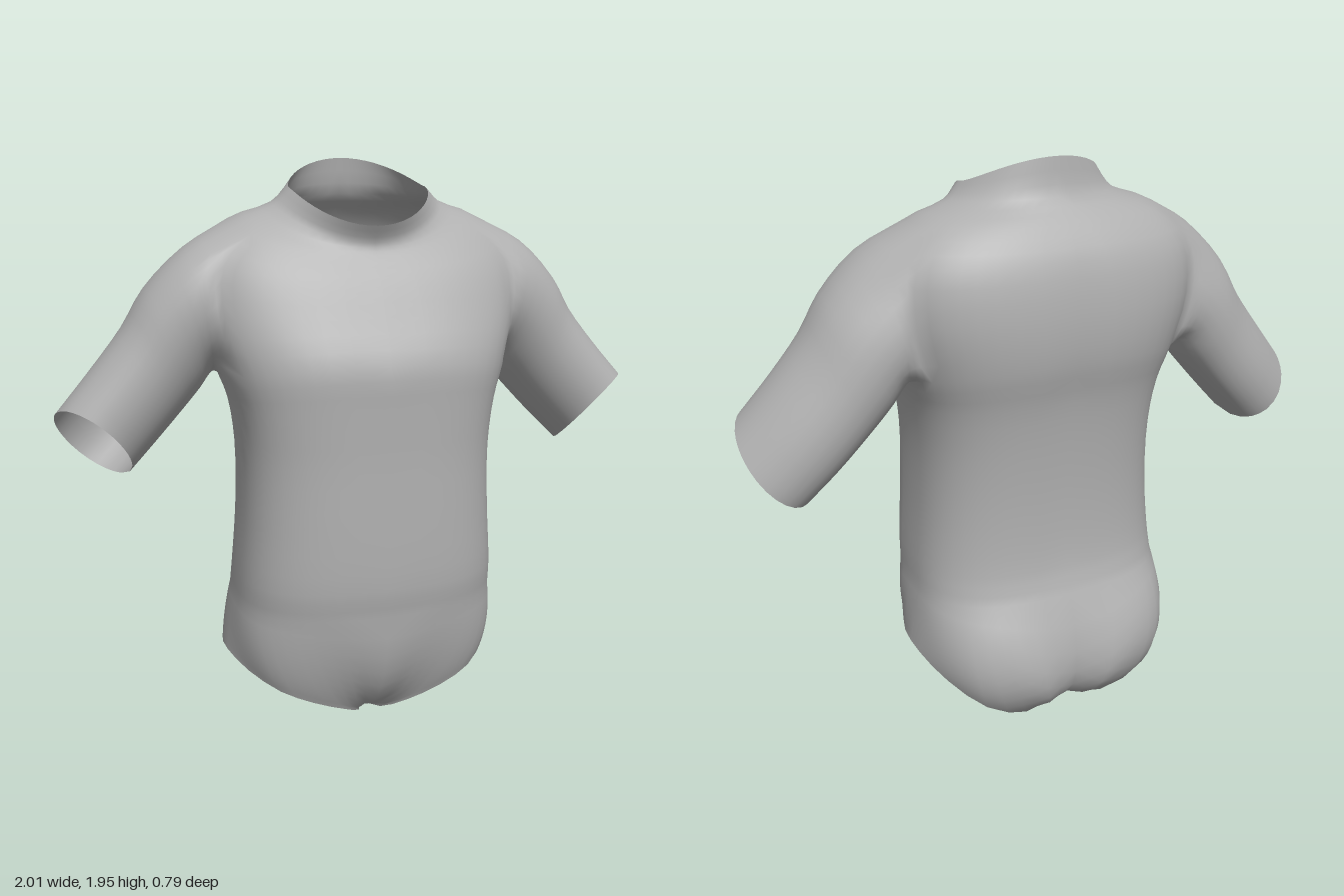
import * as THREE from 'three';
import { mergeVertices } from 'three/addons/utils/BufferGeometryUtils.js';

const COLS = 24;            // columns on one half, front centre to back centre
const SUB = 3;              // rows per torso section
const LOW = 9;              // rows between leg hem and hips
const HOLE = { c0: 8, c1: 16, k0: 5, k1: 8 };   // armhole columns and sections

const V = (x, y, z) => new THREE.Vector3(x, y, z);
const curve = (pts) => new THREE.CatmullRomCurve3(pts, false, 'centripetal');

// torso sections: y front, y side, y back, half width, z front, z back, roundness
const SECTIONS = [
  [0.50, 0.50, 0.50, 0.452, 0.375, -0.315, 0.74],
  [0.60, 0.60, 0.60, 0.445, 0.390, -0.290, 0.73],
  [0.80, 0.80, 0.80, 0.428, 0.392, -0.280, 0.72],
  [1.02, 1.02, 1.02, 0.422, 0.388, -0.290, 0.70],
  [1.20, 1.18, 1.20, 0.440, 0.390, -0.312, 0.68],
  [1.34, 1.28, 1.34, 0.475, 0.388, -0.345, 0.69],
  [1.48, 1.48, 1.50, 0.530, 0.325, -0.352, 0.72],
  [1.60, 1.65, 1.66, 0.520, 0.265, -0.325, 0.75],
  [1.66, 1.765, 1.76, 0.420, 0.225, -0.265, 0.82],
  [1.70, 1.815, 1.83, 0.285, 0.213, -0.205, 1.00],
  [1.755, 1.862, 1.95, 0.228, 0.240, -0.185, 1.00],
];

// leg hem, from the crotch round the front, hip and seat back to the crotch
const HEM = curve([
  V(0, 0.022, 0.04), V(0.04, 0.055, 0.17), V(0.115, 0.11, 0.245), V(0.23, 0.165, 0.27),
  V(0.34, 0.215, 0.25), V(0.43, 0.262, 0.16), V(0.48, 0.29, 0.03), V(0.475, 0.275, -0.1),
  V(0.42, 0.215, -0.22), V(0.31, 0.125, -0.305), V(0.15, 0.04, -0.285), V(0.035, 0.002, -0.15),
  V(0, 0.022, 0.04)]);

// fullness of belly, hip and seat between hem and waist
const FULLNESS = curve([
  V(0, 0.1, 0.365), V(0.1, 0.18, 0.345), V(0.22, 0.25, 0.34), V(0.32, 0.3, 0.32),
  V(0.41, 0.33, 0.26), V(0.46, 0.37, 0.16), V(0.47, 0.39, 0.03), V(0.465, 0.375, -0.12),
  V(0.44, 0.33, -0.25), V(0.375, 0.28, -0.375), V(0.26, 0.22, -0.47), V(0.12, 0.09, -0.54),
  V(0, -0.01, -0.53)]);

// sleeve rings: top x, top y, underside x, underside y, z front, z back, slant of the front edge
const SLEEVE = [
  [0.57, 1.685, 0.49, 1.27, 0.172, -0.235, 0],
  [0.70, 1.56, 0.53, 1.215, 0.158, -0.228, 0.005],
  [0.775, 1.44, 0.61, 1.125, 0.148, -0.21, 0.02],
  [0.88, 1.31, 0.70, 1.03, 0.148, -0.19, 0.04],
  [0.99, 1.185, 0.785, 0.945, 0.152, -0.16, 0.055],
];

function sectionPoint([yf, ys, yb, hw, zf, zb, p], u) {
  const s = Math.sin(Math.PI * u), c = Math.cos(Math.PI * u);
  const y = ys + ((c > 0 ? yf : yb) - ys) * Math.abs(c) ** 1.5;
  const z = (zf + zb) / 2 + Math.sign(c) * Math.abs(c) ** p * (zf - zb) / 2;
  return V(u === 0 || u === 1 ? 0 : hw * s ** p, y, z);
}

// one column of the body, from the leg hem up to the collar
function bodyColumn(j) {
  const u = j / COLS;
  const upper = curve(SECTIONS.map((s) => sectionPoint(s, u)));
  const lower = new THREE.QuadraticBezierCurve3(HEM.getPoint(u), FULLNESS.getPoint(u), upper.getPoint(0));
  return [...lower.getPoints(LOW).slice(0, -1), ...upper.getPoints((SECTIONS.length - 1) * SUB)];
}

// one sleeve strand, from an armhole point to the cuff
function sleeveStrand(start) {
  const a = Math.atan2((start.z + 0.02) / 0.21, (start.y - 1.52) / 0.245);
  const c = Math.cos(a), s = Math.sin(a);
  const ring = ([tx, ty, bx, by, zf, zb, slant]) => V(
    (tx + bx) / 2 + c * (tx - bx) / 2 - s * slant,
    (ty + by) / 2 + c * (ty - by) / 2 + s * slant,
    (zf + zb) / 2 + s * (zf - zb) / 2 + c * 0.035);
  return curve([start, ...SLEEVE.map(ring)]).getPoints(SLEEVE.length * 3);
}

// triangles between neighbouring columns, optionally mirrored or skipping cells
function skin(columns, mirror, skip = () => false) {
  const out = [];
  for (let j = 0; j < columns.length - 1; j++) {
    for (let r = 0; r < columns[j].length - 1; r++) {
      if (skip(j, r)) continue;
      const a = columns[j][r], b = columns[j + 1][r];
      const c = columns[j + 1][r + 1], d = columns[j][r + 1];
      const tris = mirror ? [a, c, b, a, d, c] : [a, b, c, a, c, d];
      for (const p of tris) out.push(mirror ? -p.x : p.x, p.y, p.z);
    }
  }
  return out;
}

export function createModel() {
  const group = new THREE.Group();
  group.name = 'bodysuit';
  const fabric = new THREE.MeshStandardMaterial({ color: 0xb0b0b0, side: THREE.DoubleSide });
  fabric.name = 'grey fabric';

  const body = [];
  for (let j = 0; j <= COLS; j++) body.push(bodyColumn(j));
  const r0 = LOW + HOLE.k0 * SUB, r1 = LOW + HOLE.k1 * SUB;
  const inHole = (j, r) => j >= HOLE.c0 && j < HOLE.c1 && r >= r0 && r < r1;

  // armhole edge, walked once round
  const loop = [];
  for (let j = HOLE.c0; j < HOLE.c1; j++) loop.push(body[j][r0]);
  for (let r = r0; r < r1; r++) loop.push(body[HOLE.c1][r]);
  for (let j = HOLE.c1; j > HOLE.c0; j--) loop.push(body[j][r1]);
  for (let r = r1; r > r0; r--) loop.push(body[HOLE.c0][r]);
  const sleeve = loop.map(sleeveStrand);
  sleeve.push(sleeve[0]);

  const parts = [
    ['torso', [...skin(body, false, inHole), ...skin(body, true, inHole)]],
    ['leftSleeve', skin(sleeve, false)],
    ['rightSleeve', skin(sleeve, true)],
  ];

  // weld everything so the shading runs smoothly from torso into sleeves
  let whole = new THREE.BufferGeometry();
  whole.setAttribute('position', new THREE.Float32BufferAttribute(parts.flatMap((p) => p[1]), 3));
  whole = mergeVertices(whole, 1e-4);
  whole.computeVertexNormals();

  let offset = 0;
  for (const [name, data] of parts) {
    const count = data.length / 3;
    const geometry = new THREE.BufferGeometry();
    geometry.setAttribute('position', whole.attributes.position);
    geometry.setAttribute('normal', whole.attributes.normal);
    geometry.setIndex(Array.from(whole.index.array.slice(offset, offset + count)));
    offset += count;
    const mesh = new THREE.Mesh(geometry, fabric);
    mesh.name = name;
    group.add(mesh);
  }
  return group;
}
